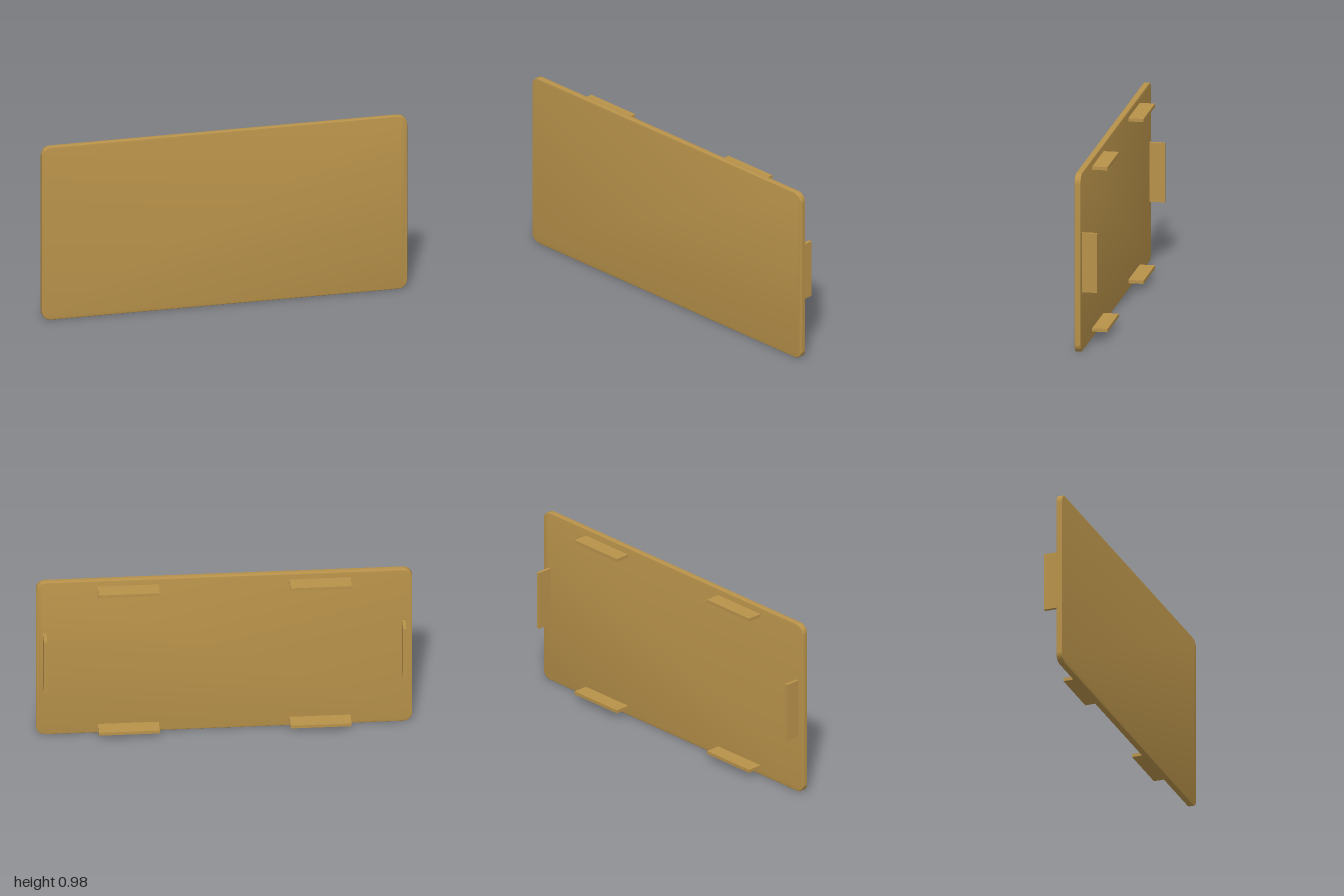
import * as THREE from 'three';
import { toCreasedNormals } from 'three/addons/utils/BufferGeometryUtils.js';

const WIDTH = 2, HEIGHT = 0.98, CORNER = 0.05;
const BACK = 0.025, FRONT = 0.058, BEVEL = 0.004;
const CLIP_LENGTH = 0.325, CLIP_THICKNESS = 0.018, CLIP_DEPTH = FRONT + BACK;

// Rounded rectangle centred on x, standing on y = 0, pulled in by an inset
function roundedOutline(inset) {
  const x = WIDTH / 2 - inset, y0 = inset, y1 = HEIGHT - inset, r = CORNER - inset;
  const shape = new THREE.Shape();
  shape.moveTo(-x + r, y0);
  shape.lineTo(x - r, y0);
  shape.absarc(x - r, y0 + r, r, -Math.PI / 2, 0);
  shape.absarc(x - r, y1 - r, r, 0, Math.PI / 2);
  shape.absarc(-x + r, y1 - r, r, Math.PI / 2, Math.PI);
  shape.absarc(-x + r, y0 + r, r, Math.PI, Math.PI * 1.5);
  return shape;
}

export function createModel() {
  const model = new THREE.Group();
  model.name = 'coverPanel';
  const material = new THREE.MeshStandardMaterial({ color: 0xb8924a });

  // Thin plate with rounded corners and softened edges
  const plateGeometry = new THREE.ExtrudeGeometry(roundedOutline(BEVEL), {
    depth: FRONT - BACK - 2 * BEVEL,
    bevelEnabled: true,
    bevelSize: BEVEL,
    bevelThickness: BEVEL,
    bevelSegments: 3,
    curveSegments: 10,
  });
  plateGeometry.translate(0, 0, BACK + BEVEL);
  const plate = new THREE.Mesh(toCreasedNormals(plateGeometry, Math.PI / 5), material);
  plate.name = 'plate';
  model.add(plate);

  // Flat tabs standing out from the back of the plate
  const addTab = (name, width, height, x, y) => {
    const tab = new THREE.Mesh(new THREE.BoxGeometry(width, height, CLIP_DEPTH), material);
    tab.name = name;
    tab.position.set(x, y, BACK - CLIP_DEPTH / 2);
    model.add(tab);
  };
  for (const [side, s] of [['left', 1], ['right', -1]]) {
    addTab(side + 'TopTab', CLIP_LENGTH, CLIP_THICKNESS, s * 0.51, 0.934);
    addTab(side + 'BottomTab', CLIP_LENGTH, CLIP_THICKNESS, s * 0.51, 0.046);
    addTab(side + 'SideTab', CLIP_THICKNESS, CLIP_LENGTH, s * 0.955, 0.491);
  }
  return model;
}
